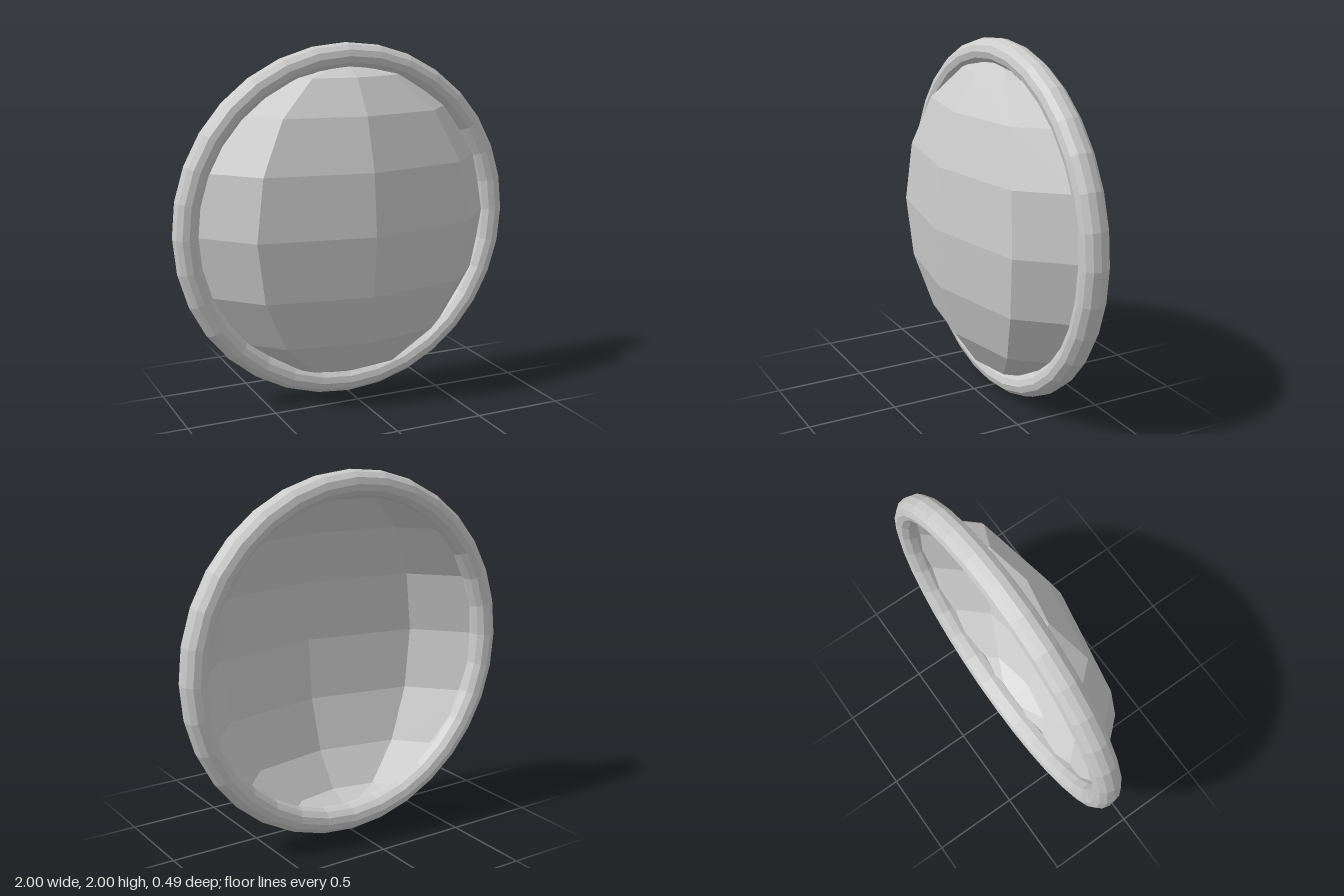
import * as THREE from 'three';

export function createModel() {
  const group = new THREE.Group();
  const centreZ = -0.165;

  // Thick round rim, slightly deeper than it is wide
  const rim = new THREE.Mesh(
    new THREE.TorusGeometry(0.93, 0.07, 12, 32),
    new THREE.MeshStandardMaterial({ color: 0xcccccc, flatShading: true })
  );
  rim.name = 'rim';
  rim.scale.z = 0.08 / 0.07;
  rim.position.set(0, 1, centreZ);
  group.add(rim);

  // Flattened faceted half sphere, open at the back
  const dome = new THREE.Mesh(
    new THREE.SphereGeometry(0.89, 4, 8, 0, Math.PI).scale(1, 1, 0.405 / 0.89),
    new THREE.MeshStandardMaterial({ color: 0xcccccc, flatShading: true, side: THREE.DoubleSide })
  );
  dome.name = 'dome';
  dome.position.set(0, 1, centreZ);
  group.add(dome);

  return group;
}
